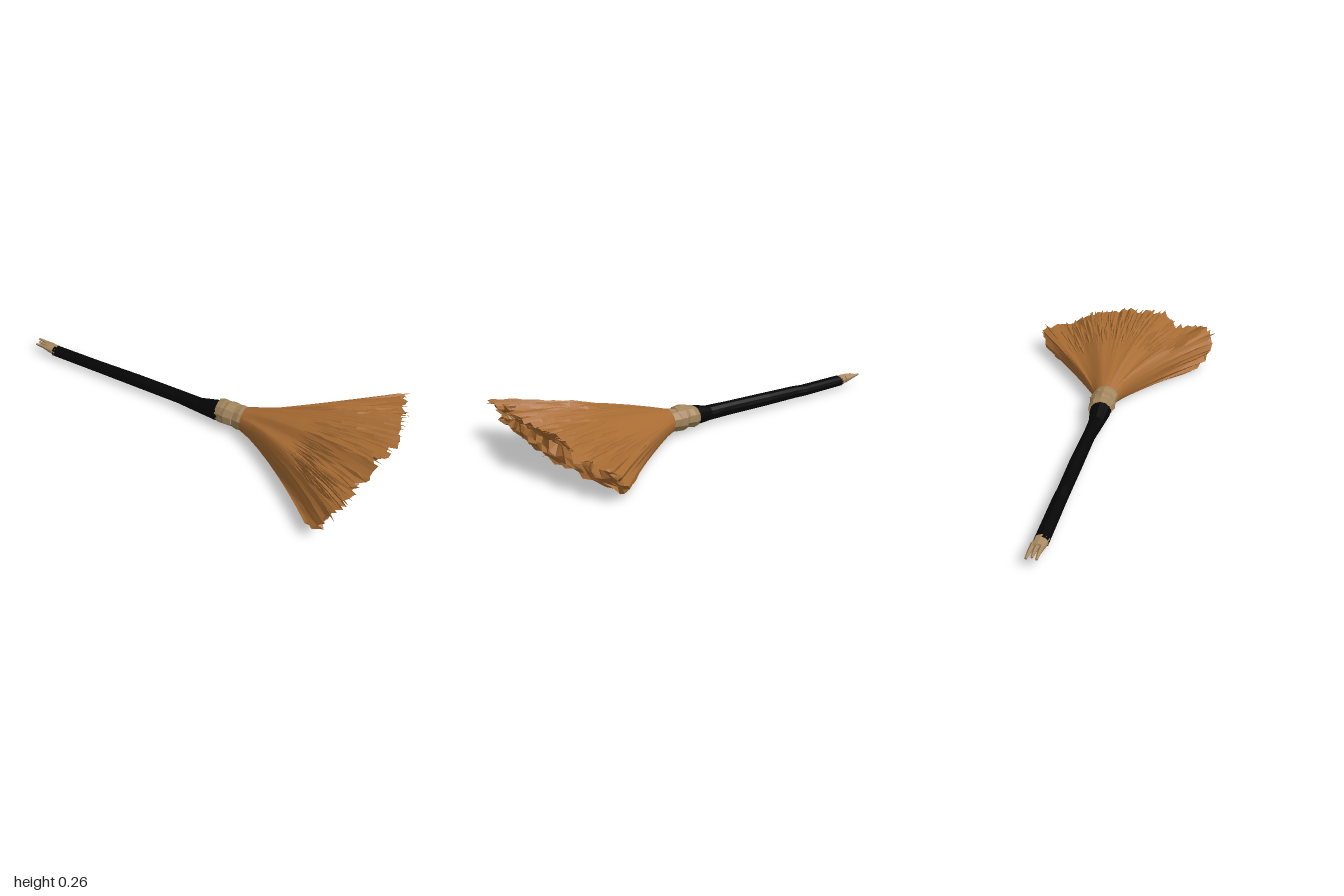
import * as THREE from 'three';

const mat = (name, color) => {
  const m = new THREE.MeshStandardMaterial({ color, flatShading: true, side: THREE.DoubleSide });
  m.name = name;
  return m;
};

// small seeded random, -1..1
let seed = 7;
const rnd = () => {
  seed = (seed * 16807) % 2147483647;
  return (seed / 2147483647) * 2 - 1;
};

// skin between closed rings of Vector3 (each ring turns from +y towards +z)
function skin(rings, caps = true) {
  const n = rings[0].length, pos = [], idx = [];
  rings.forEach(r => r.forEach(p => pos.push(p.x, p.y, p.z)));
  for (let i = 0; i < rings.length - 1; i++)
    for (let j = 0; j < n; j++) {
      const a = i * n + j, b = i * n + (j + 1) % n;
      idx.push(a, b, a + n, b, b + n, a + n);
    }
  if (caps) {
    const last = (rings.length - 1) * n;
    for (let j = 1; j < n - 1; j++) idx.push(0, j + 1, j, last, last + j, last + j + 1);
  }
  const g = new THREE.BufferGeometry();
  g.setAttribute('position', new THREE.Float32BufferAttribute(pos, 3));
  g.setIndex(idx);
  g.computeVertexNormals();
  return g;
}

// elliptical ring: x, centre y, centre z, radius y, radius z, jitter, tilt in x
function ring([x, y, z, ry, rz], n, jitter = 0, tilt = 0) {
  return Array.from({ length: n }, (_, j) => {
    const a = (j / n) * Math.PI * 2, k = 1 + jitter * rnd();
    return new THREE.Vector3(x + tilt * Math.sin(a + 0.6), y + ry * k * Math.cos(a), z + rz * k * Math.sin(a));
  });
}

// end outline of the bristle fan as (z, y)
const outline = new THREE.CatmullRomCurve3([
  [-0.47, 0.15], [-0.4, 0.155], [-0.3, 0.18], [-0.2, 0.23], [-0.1, 0.24], [0, 0.255], [0.1, 0.255], [0.2, 0.26],
  [0.26, 0.21], [0.33, 0.205], [0.4, 0.215], [0.45, 0.205], [0.48, 0.15], [0.45, 0.06], [0.4, 0.02], [0.3, 0.03],
  [0.2, 0.035], [0.05, 0.04], [-0.1, 0.04], [-0.25, 0.04], [-0.43, 0.045], [-0.475, 0.12],
].map(([z, y]) => new THREE.Vector3(0, y, z)), true, 'centripetal');

const X0 = 0.26;
const endX = (y, z) => 0.725 + 0.185 * Math.pow(Math.max(0, y - 0.015) / 0.25, 0.5) + 0.052 * (1 - Math.abs(z) / 0.48);

// point on the fan: u around the outline, t from neck to end
function fan(u, t) {
  const e = outline.getPoint(((u % 1) + 1) % 1);
  const a = Math.atan2(e.z / 0.48, (e.y - 0.125) / 0.12);
  const ny = 0.086 + 0.057 * Math.cos(a), nz = 0.06 * Math.sin(a);
  const swell = 0.4 + 0.4 * Math.cos(a);
  return new THREE.Vector3(
    X0 + (endX(e.y, e.z) - X0) * t,
    ny + (e.y - ny) * t * (1 + swell - swell * t),
    nz + (e.z - nz) * Math.pow(t, 1.17 + 0.08 * Math.sin(a)));
}

// bristle bundle: flared skin with grooves and a ragged rim, closed by a rough
// end that is full along the bottom and hollowed under the upper rim
function bundleGeometry() {
  const N = 100, rings = [];
  const ragged = Array.from({ length: N }, rnd);
  for (const t of [0, 0.12, 0.25, 0.4, 0.55, 0.7, 0.85, 1]) {
    rings.push(Array.from({ length: N }, (_, j) => {
      const p = fan(j / N, t), k = t * t * t;
      const upper = THREE.MathUtils.smoothstep(p.y, 0.12, 0.2);
      p.x += ragged[j] * 0.028 * k;
      p.y += ragged[(j * 7) % N] * (0.006 + 0.006 * upper) * k;
      p.z += ragged[(j * 11) % N] * 0.006 * k;
      return p;
    }));
  }
  for (const s of [0.82, 0.6, 0.35, 0]) {
    rings.push(Array.from({ length: N }, (_, j) => {
      const e = fan(j / N, 1);
      const mid = 0.12 + 0.03 * (1 - Math.abs(e.z) / 0.48);
      const y = mid + (e.y - mid) * s + (s ? rnd() * 0.012 : 0);
      const z = e.z * (0.88 + 0.12 * s) + (s ? rnd() * 0.008 : 0);
      const hollow = 0.05 * (1 - s) * THREE.MathUtils.smoothstep(y, 0.08, 0.15);
      return new THREE.Vector3(endX(y, z) - hollow + rnd() * 0.016, y, z);
    }));
  }
  return skin(rings, false);
}

// loose straws: pointed slivers following the flare
function strawGeometry(count) {
  const pos = [];
  for (let i = 0; i < count; i++) {
    const u = i % 4 ? 0.28 + 0.25 * rnd() : 0.5 + 0.5 * rnd();
    const t0 = 0.62 + 0.17 * rnd(), t2 = Math.min(1.04, t0 + 0.28 + 0.12 * rnd());
    const w = 0.006 + 0.002 * rnd(), lift = 0.008 + 0.005 * rnd();
    const tm = t0 + (t2 - t0) * 0.65, mid = fan(u, tm);
    const out = new THREE.Vector3(0, (mid.y - 0.12) * 4, mid.z * 0.3).normalize();
    const base = fan(u, t0), l = fan(u - w, tm), r = fan(u + w, tm);
    const ridge = mid.clone().addScaledVector(out, lift);
    const tip = fan(u + 0.006 * rnd(), t2).addScaledVector(out, lift * 0.7);
    tip.y = Math.max(0.002, tip.y);
    for (const f of [[base, ridge, l], [base, r, ridge], [l, ridge, tip], [ridge, r, tip]])
      f.forEach(p => pos.push(p.x, p.y, p.z));
  }
  const g = new THREE.BufferGeometry();
  g.setAttribute('position', new THREE.Float32BufferAttribute(pos, 3));
  g.computeVertexNormals();
  return g;
}

export function createModel() {
  seed = 7;
  const group = new THREE.Group();
  const straw = mat('straw', 0xa86c33);
  const black = mat('blackHandle', 0x050505);
  const wrap = mat('wrapCloth', 0xa2855d);
  const wood = mat('bareWood', 0xa98a62);
  const add = (name, geo, m) => {
    const mesh = new THREE.Mesh(geo, m);
    mesh.name = name;
    group.add(mesh);
  };

  // slightly crooked handle
  add('handle', skin([
    [-0.875, 0.057, -0.038, 0.028, 0.032], [-0.6, 0.058, -0.032, 0.029, 0.032], [-0.54, 0.061, -0.028, 0.031, 0.03],
    [-0.35, 0.065, -0.022, 0.033, 0.032], [-0.1, 0.07, -0.011, 0.035, 0.029], [0.02, 0.071, -0.002, 0.036, 0.037],
    [0.12, 0.081, -0.001, 0.049, 0.052], [0.17, 0.083, 0, 0.046, 0.048],
  ].map(s => ring(s, 12))), black);

  // splintered bare end
  add('splinterBase', skin([
    [-0.92, 0.065, -0.041, 0.017, 0.029], [-0.865, 0.057, -0.038, 0.0285, 0.0325],
  ].map(s => ring(s, 10, 0.04, 0.006))), wood);
  for (const [x, y, z] of [[-1, 0.074, -0.064], [-0.985, 0.07, -0.045], [-0.99, 0.067, -0.025]])
    add('splinter', skin([
      [x, y, z, 0.005, 0.006], [-0.945, 0.068, z, 0.011, 0.009], [-0.9, 0.062, z + 0.002, 0.018, 0.011],
    ].map(s => ring(s, 5))), wood);

  // overlapping crooked wrappings around the neck
  for (const [x, w, r, tilt] of [[0.115, 0.07, 0.053, 0.008], [0.16, 0.065, 0.056, -0.014], [0.205, 0.07, 0.055, 0.012]])
    add('binding', skin([
      [x, 0.083, -0.003, r - 0.003, r], [x + w * 0.4, 0.086, -0.005, r + 0.002, r + 0.009], [x + w, 0.088, 0, r, r + 0.006],
    ].map(s => ring(s, 10, 0.06, tilt))), wrap);

  // bristles
  add('bristleBundle', bundleGeometry(), straw);
  add('looseStraws', strawGeometry(130), straw);

  return group;
}
